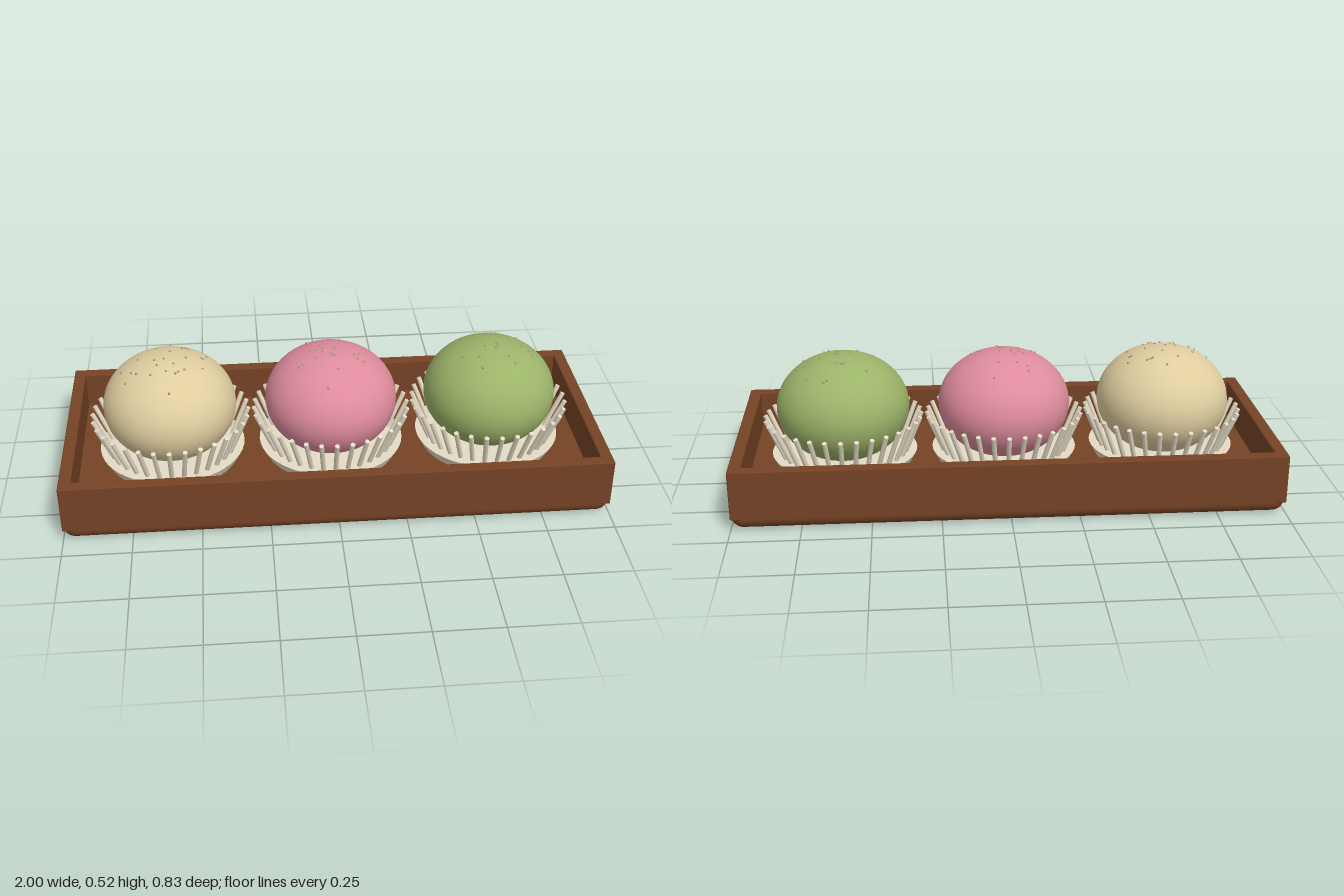
import * as THREE from 'three';
import { RoundedBoxGeometry } from 'three/addons/geometries/RoundedBoxGeometry.js';

const mat = (name, color, side = THREE.FrontSide) => {
  const m = new THREE.MeshStandardMaterial({ color, side });
  m.name = name;
  return m;
};

const add = (parent, name, geometry, material, x = 0, y = 0, z = 0) => {
  const mesh = new THREE.Mesh(geometry, material);
  mesh.name = name;
  mesh.position.set(x, y, z);
  parent.add(mesh);
  return mesh;
};

// Small seeded generator for the sprinkles
const seeded = (seed) => () => {
  seed = (seed * 16807) % 2147483647;
  return seed / 2147483647;
};

export function createModel() {
  const model = new THREE.Group();
  model.name = 'sweetsTray';

  const wood = mat('brown wood', 0x754325);
  const paper = mat('cream paper', 0xe4dbc4, THREE.DoubleSide);
  const seed = mat('seed', 0xa89c80);
  const doughs = [
    mat('beige dough', 0xdfcd9f),
    mat('pink dough', 0xdf8c9d),
    mat('green dough', 0x9cb369),
  ];

  // Tray: rounded floor slab with four upright walls
  const W = 2, D = 0.83, T = 0.045, floorTop = 0.09, wallLow = 0.042, wallTop = 0.227;
  const wallH = wallTop - wallLow, wallY = (wallTop + wallLow) / 2;
  const tray = new THREE.Group();
  tray.name = 'tray';
  model.add(tray);
  add(tray, 'trayFloor', new RoundedBoxGeometry(W, floorTop, D, 5, 0.0449), wood, 0, floorTop / 2, 0);
  const longWall = new RoundedBoxGeometry(W, wallH, T, 2, 0.005);
  const shortWall = new RoundedBoxGeometry(T, wallH, D, 2, 0.005);
  for (const s of [-1, 1]) {
    add(tray, s > 0 ? 'frontWall' : 'backWall', longWall, wood, 0, wallY, s * (D - T) / 2);
    add(tray, s > 0 ? 'leftWall' : 'rightWall', shortWall, wood, s * (W - T) / 2, wallY, 0);
  }

  // Shared shapes: dough ball, shallow paper cup, pleat rod, sprinkle
  const R = 0.248, H = 0.203, ballY = 0.309;
  const ballGeo = new THREE.SphereGeometry(R, 48, 32).scale(1, H / R, 1);
  const cupGeo = new THREE.CylinderGeometry(0.274, 0.25, 0.045, 48);
  const seedGeo = new THREE.SphereGeometry(0.0048, 8, 6);
  const low = new THREE.Vector3(0.222, 0.105, 0);
  const high = new THREE.Vector3(0.293, 0.274, 0);
  const rodDir = high.clone().sub(low);
  const rodGeo = new THREE.CylinderGeometry(0.009, 0.009, rodDir.length(), 8);
  rodGeo.applyQuaternion(new THREE.Quaternion().setFromUnitVectors(
    new THREE.Vector3(0, 1, 0), rodDir.clone().normalize()));
  const mid = low.clone().add(high).multiplyScalar(0.5);
  rodGeo.translate(mid.x, mid.y, mid.z);

  ['beige', 'pink', 'green'].forEach((label, i) => {
    const sweet = new THREE.Group();
    sweet.name = label + 'Sweet';
    sweet.position.x = (i - 1) * 0.606;
    model.add(sweet);

    add(sweet, 'doughBall', ballGeo, doughs[i], 0, ballY, 0);
    add(sweet, 'paperCup', cupGeo, paper, 0, 0.11, 0);

    // Ring of outward-leaning pleats
    const pleats = new THREE.Group();
    pleats.name = 'paperPleats';
    sweet.add(pleats);
    for (let k = 0; k < 32; k++) {
      add(pleats, 'pleat', rodGeo, paper).rotation.y = (k / 32) * Math.PI * 2;
    }

    // Sprinkles scattered over the crown
    const rand = seeded(1234 + i * 777);
    const sprinkles = new THREE.Group();
    sprinkles.name = 'sprinkles';
    sweet.add(sprinkles);
    for (let k = 0; k < 26; k++) {
      const a = rand() * Math.PI * 2;
      const p = 0.05 + rand() * 0.75;
      add(sprinkles, 'sprinkle', seedGeo, seed,
        R * Math.sin(p) * Math.cos(a), ballY + H * Math.cos(p), R * Math.sin(p) * Math.sin(a));
    }
  });

  return model;
}
